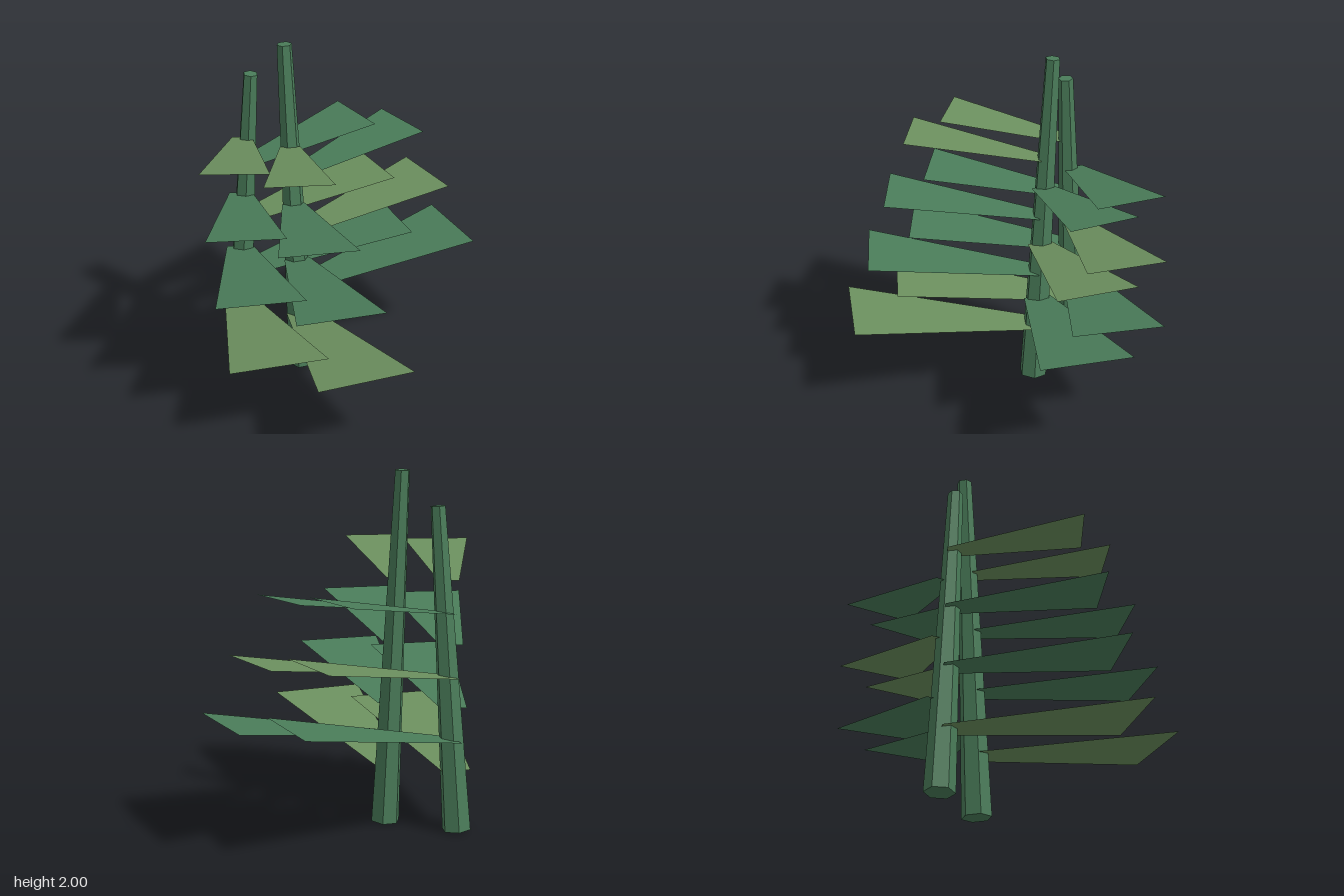
import * as THREE from 'three';

const green = new THREE.MeshStandardMaterial({ color: 0x4a7c59, flatShading: true });
const leafGreen = new THREE.MeshStandardMaterial({ color: 0x4a7c59, flatShading: true, side: THREE.DoubleSide });
const leafLight = new THREE.MeshStandardMaterial({ color: 0x6b8f5e, flatShading: true, side: THREE.DoubleSide });

// Six-sided tapered stalk leaning from its foot to its tip
function makeStalk(foot, tip, turn) {
  const axis = tip.clone().sub(foot);
  const geometry = new THREE.CylinderGeometry(0.042, 0.083, axis.length(), 6);
  geometry.rotateY(THREE.MathUtils.degToRad(turn));
  const stalk = new THREE.Mesh(geometry, green);
  stalk.name = 'stalk';
  stalk.quaternion.setFromUnitVectors(new THREE.Vector3(0, 1, 0), axis.normalize());
  stalk.position.copy(foot).add(tip).multiplyScalar(0.5);
  return stalk;
}

// Flat blade along +z, narrow at the stem, wide and raised at the end
function makeLeaf(length, width, material) {
  const stem = width * 0.15, end = width / 2, rise = length * 0.176;
  const geometry = new THREE.BufferGeometry();
  geometry.setAttribute('position', new THREE.Float32BufferAttribute([
    -stem, 0, 0, stem, 0, 0, end, rise, length, -end, rise, length,
  ], 3));
  geometry.setIndex([0, 2, 1, 0, 3, 2]);
  geometry.computeVertexNormals();
  return new THREE.Mesh(geometry, material);
}

// A stalk with seven leaves, alternately to the front and the back
function makePlant({ name, foot, tip, turn, stemX, drift, frontYaw, backYaw, lengths }) {
  const plant = new THREE.Group();
  plant.name = name;
  plant.add(makeStalk(foot, tip, turn));
  lengths.forEach((length, i) => {
    const back = i % 2 === 1;
    const step = 5 * Math.floor(i / 2);
    const yaw = back ? 180 - (backYaw - step) : frontYaw - step;
    const leaf = makeLeaf(length, 0.545 - 0.029 * i, i % 3 === 0 ? leafLight : leafGreen);
    leaf.name = back ? 'backLeaf' : 'frontLeaf';
    const y = 0.345 + 0.177 * i;
    leaf.position.set(stemX + drift * y, y, -0.027);
    leaf.rotation.y = THREE.MathUtils.degToRad(yaw);
    plant.add(leaf);
  });
  return plant;
}

export function createModel() {
  const model = new THREE.Group();
  model.name = 'plant';
  model.add(
    makePlant({
      name: 'tallStem', turn: 12,
      foot: new THREE.Vector3(-0.225, 0.006, -0.02), tip: new THREE.Vector3(-0.33, 1.998, -0.06),
      stemX: -0.225, drift: -0.045, frontYaw: 45, backYaw: 40,
      lengths: [1.08, 1.02, 0.975, 0.9, 0.87, 0.78, 0.755],
    }),
    makePlant({
      name: 'shortStem', turn: 30,
      foot: new THREE.Vector3(-0.65, 0.006, -0.02), tip: new THREE.Vector3(-0.52, 1.808, -0.02),
      stemX: -0.67, drift: 0.057, frontYaw: 40, backYaw: 42.5,
      lengths: [1.075, 1.01, 0.965, 0.9, 0.85, 0.785, 0.735],
    }),
  );
  return model;
}
